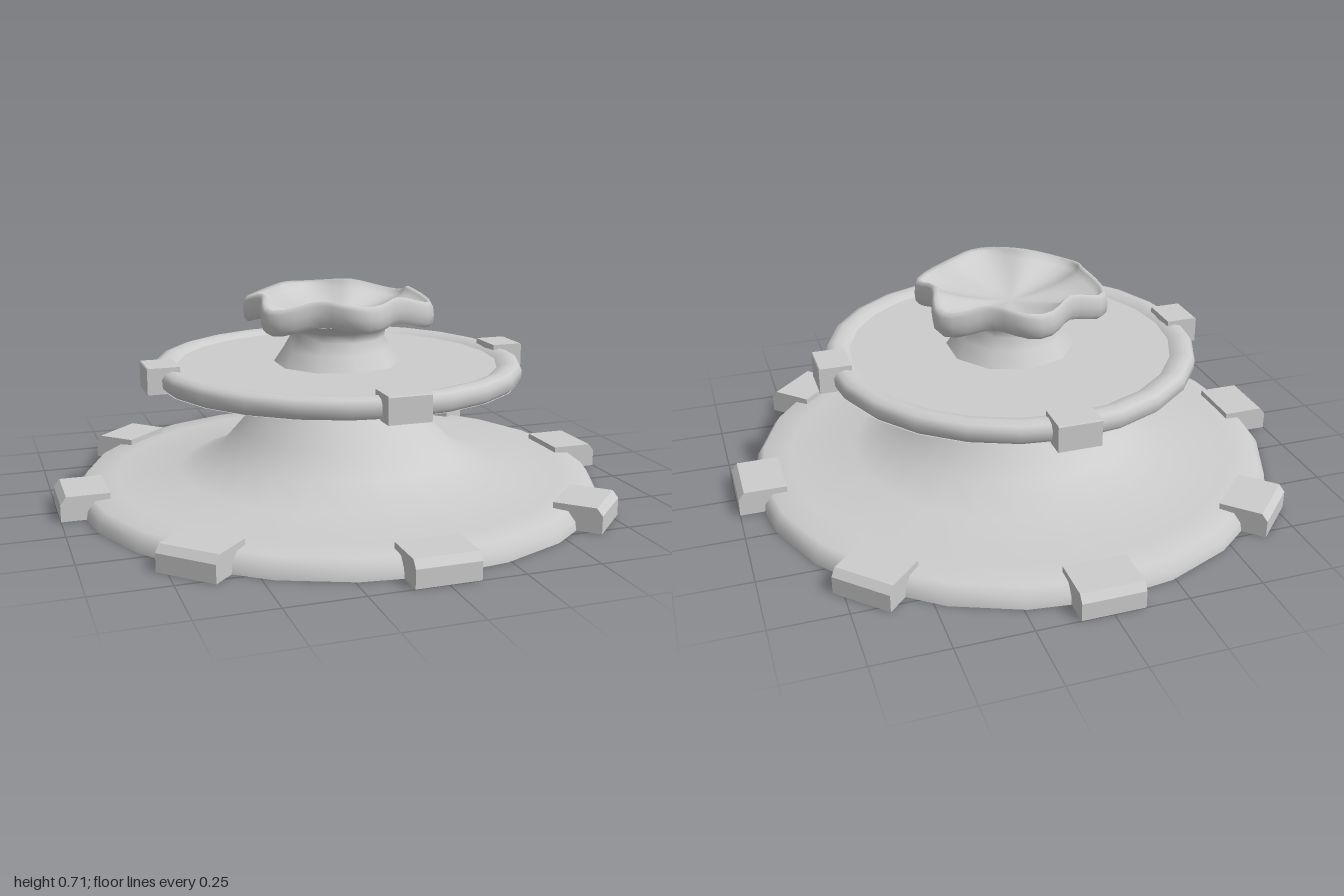
import * as THREE from 'three';
import { mergeVertices } from 'three/addons/utils/BufferGeometryUtils.js';

const stone = new THREE.MeshStandardMaterial({ color: 0xcccccc, side: THREE.DoubleSide });
stone.name = 'pale grey stone';

function addMesh(parent, name, geometry) {
  const mesh = new THREE.Mesh(geometry, stone);
  mesh.name = name;
  parent.add(mesh);
  return mesh;
}

const lathe = (profile, sides) =>
  new THREE.LatheGeometry(profile.map(([r, y]) => new THREE.Vector2(r, y)), sides);

const disc = (radius, y, sides) =>
  new THREE.CircleGeometry(radius, sides).rotateX(-Math.PI / 2).translate(0, y, 0);

// Hollow block without a bottom, its outer top edge bevelled
function blockGeometry(width, y0, y1, r0, r1, bevel) {
  const box = new THREE.BoxGeometry(width, y1 - y0, r1 - r0, 1, 2, 1);
  const index = Array.from(box.index.array);
  index.splice(30, 6);
  box.setIndex(index);
  box.clearGroups();
  box.translate(0, (y0 + y1) / 2, (r0 + r1) / 2);
  const p = box.attributes.position;
  const middle = (y0 + y1) / 2;
  for (let i = 0; i < p.count; i++) {
    const y = p.getY(i);
    if (Math.abs(y - middle) < 1e-4) p.setY(i, y1 - bevel);
    else if (y > middle && p.getZ(i) > r1 - 1e-4) p.setZ(i, r1 - bevel * 0.8);
  }
  const flat = box.toNonIndexed();
  flat.computeVertexNormals();
  return flat;
}

function addBlockRing(parent, name, count, geometry) {
  for (let i = 0; i < count; i++) {
    addMesh(parent, name, geometry).rotation.y = (i / count) * Math.PI * 2;
  }
}

// Six-lobed dish: a round lathe pushed into lobes with a rim that rises and falls
function bowlGeometry() {
  const round = lathe([
    [0.95, 0.607], [0.99, 0.622], [1, 0.65], [0.99, 0.68], [0.96, 0.696],
    [0.92, 0.69], [0.88, 0.67], [0.6, 0.645], [0.3, 0.63], [0, 0.622],
  ], 48);
  round.deleteAttribute('uv');
  round.deleteAttribute('normal');
  const p = round.attributes.position;
  for (let i = 0; i < p.count; i++) {
    const x = p.getX(i), y = p.getY(i), z = p.getZ(i);
    const s = Math.hypot(x, z);
    const a = Math.atan2(z, x);
    const lobe = -Math.cos(6 * a);
    const r = s * (0.313 + 0.03 * lobe);
    const wave = (-lobe + 1.4 * Math.sin(a) ** 16) * 0.017 * s * s;
    p.setXYZ(i, r * Math.cos(a), y + wave, r * Math.sin(a));
  }
  const geometry = mergeVertices(round, 1e-5);
  geometry.computeVertexNormals();
  return geometry;
}

export function createModel() {
  const model = new THREE.Group();
  model.name = 'tieredFountain';

  // Wide hollow base flaring up to the stem
  addMesh(model, 'base', lathe([
    [0.93, 0], [0.925, 0.03], [0.9, 0.062], [0.8, 0.068], [0.57, 0.08],
    [0.43, 0.14], [0.355, 0.225], [0.28, 0.31],
  ], 24));
  addBlockRing(model, 'baseBlock', 8, blockGeometry(0.21, 0, 0.085, 0.835, 1, 0.025));

  // Middle tray
  addMesh(model, 'trayUnderside', lathe([[0.28, 0.31], [0.57, 0.405], [0.64, 0.405]], 24));
  addMesh(model, 'trayRim', lathe([
    [0.635, 0.405], [0.65, 0.42], [0.652, 0.45], [0.64, 0.468], [0.615, 0.476],
    [0.585, 0.47], [0.565, 0.458],
  ], 24));
  addMesh(model, 'trayFloor', disc(0.567, 0.458, 24));
  addBlockRing(model, 'trayBlock', 4, blockGeometry(0.145, 0.4, 0.49, 0.58, 0.692, 0.004));

  // Pedestal under the bowl
  addMesh(model, 'pedestal', lathe([
    [0.225, 0.458], [0.19, 0.51], [0.167, 0.55], [0.172, 0.58], [0.21, 0.61],
  ], 10));
  addMesh(model, 'pedestalTop', disc(0.21, 0.61, 10));

  // Lobed bowl
  addMesh(model, 'bowl', bowlGeometry());

  return model;
}
